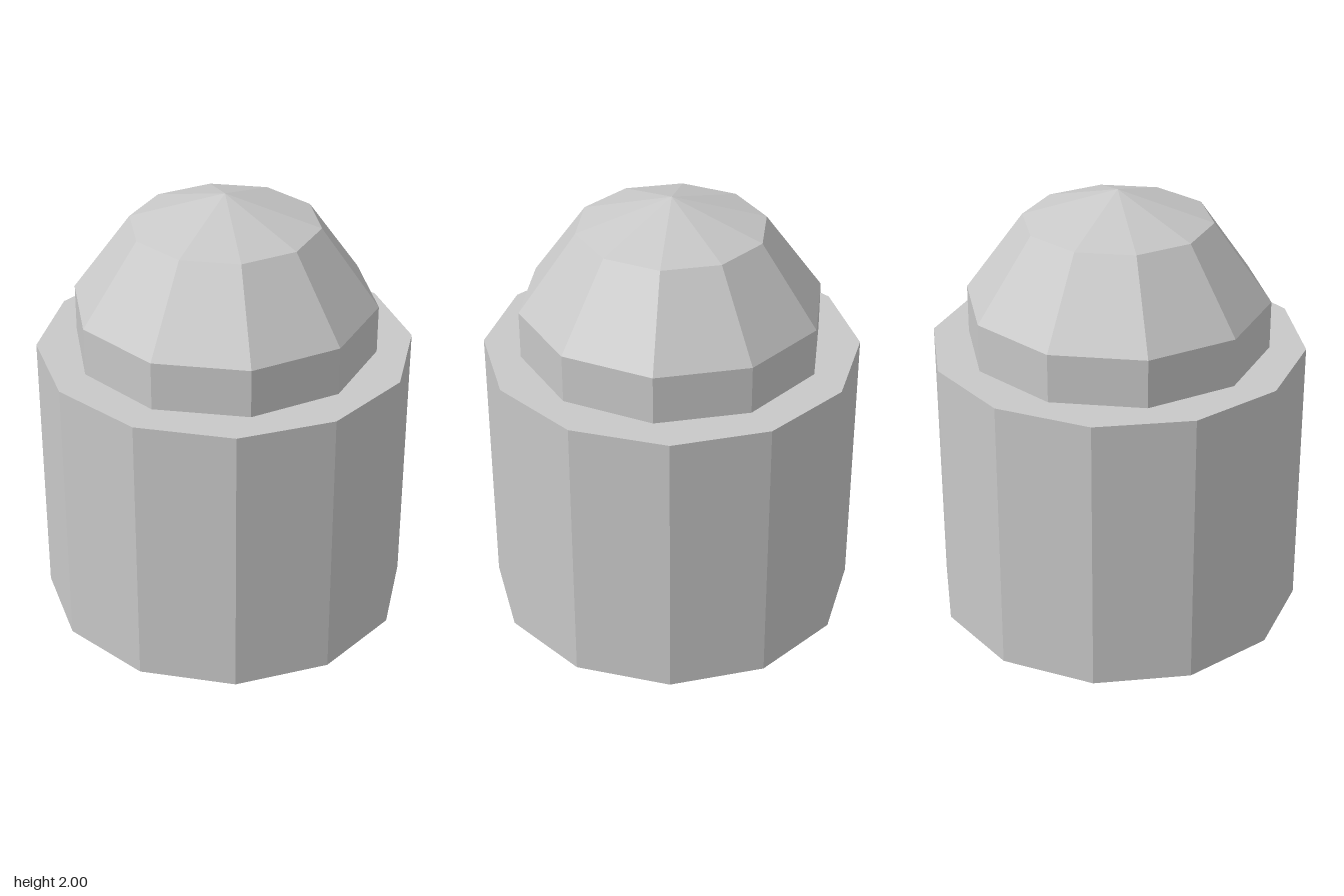
import * as THREE from 'three';

export function createModel() {
  const model = new THREE.Group();
  const grey = new THREE.MeshStandardMaterial({ color: 0xc8c8c8, flatShading: true });
  grey.name = 'grey';

  // Adds one faceted tier between two heights
  function addTier(name, rTop, rBottom, y0, y1, sides, open) {
    const geometry = new THREE.CylinderGeometry(rTop, rBottom, y1 - y0, sides, 1, open);
    const mesh = new THREE.Mesh(geometry, grey);
    mesh.name = name;
    mesh.position.y = (y0 + y1) / 2;
    model.add(mesh);
  }

  // Twelve-sided drum with closed ends
  addTier('body', 0.845, 0.845, 0, 1.285, 12, false);

  // Ten-sided dome: upright collar, sloping shoulder and shallow pointed cap
  addTier('domeCollar', 0.682, 0.682, 1.285, 1.505, 10, true);
  addTier('domeShoulder', 0.422, 0.682, 1.505, 1.865, 10, true);
  addTier('domeCap', 0, 0.422, 1.865, 2, 10, true);

  return model;
}
